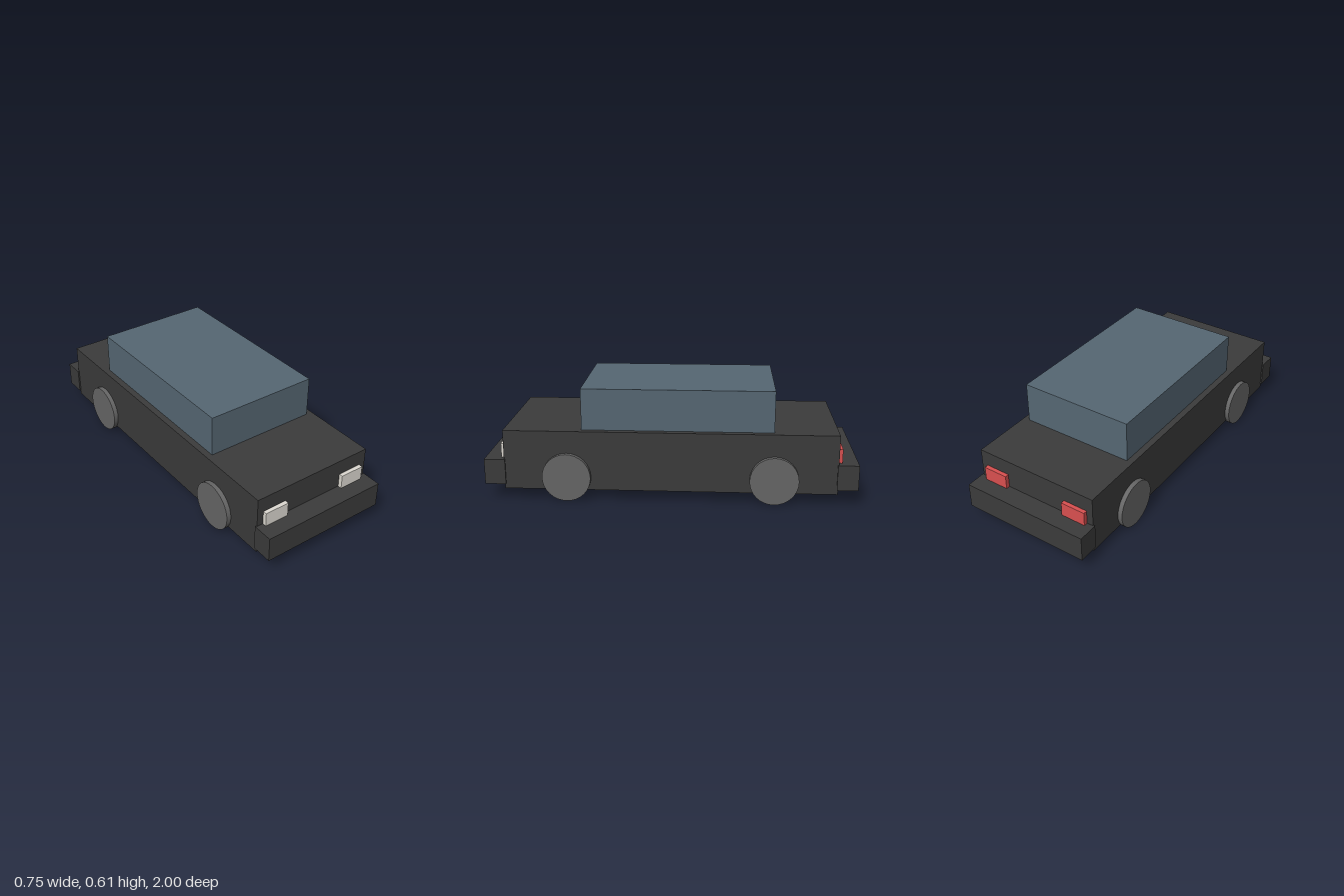
import * as THREE from 'three';

const paint = (color) => new THREE.MeshStandardMaterial({ color });

export function createModel() {
  const car = new THREE.Group();
  car.name = 'car';

  const dark = paint(0x3b3b3b);
  const glass = paint(0x566773);
  const rubber = paint(0x666666);
  const white = paint(0xdedad2);
  const red = paint(0xd95050);

  // Box given by its low and high limits on each axis
  function addBox(name, material, [x0, x1], [y0, y1], [z0, z1]) {
    const mesh = new THREE.Mesh(new THREE.BoxGeometry(x1 - x0, y1 - y0, z1 - z0), material);
    mesh.position.set((x0 + x1) / 2, (y0 + y1) / 2, (z0 + z1) / 2);
    mesh.name = name;
    car.add(mesh);
  }

  // Body and cabin
  addBox('body', dark, [-0.352, 0.352], [0.057, 0.383], [-0.893, 0.893]);
  addBox('cabin', glass, [-0.317, 0.317], [0.383, 0.608], [-0.552, 0.475]);

  // Bumpers
  addBox('frontBumper', dark, [-0.36, 0.36], [0.083, 0.222], [0.887, 1]);
  addBox('rearBumper', dark, [-0.36, 0.36], [0.083, 0.222], [-1, -0.887]);

  const wheelGeometry = new THREE.CylinderGeometry(0.131, 0.131, 0.087, 32).rotateZ(Math.PI / 2);

  for (const [side, s] of [['left', 1], ['right', -1]]) {
    // Lamps, just above the bumpers
    const lampX = s > 0 ? [0.178, 0.316] : [-0.316, -0.178];
    addBox(side + 'Headlight', white, lampX, [0.22, 0.299], [0.888, 0.915]);
    addBox(side + 'TailLight', red, lampX, [0.22, 0.299], [-0.915, -0.888]);

    // Wheels
    for (const [end, z] of [['Front', 0.555], ['Rear', -0.555]]) {
      const wheel = new THREE.Mesh(wheelGeometry, rubber);
      wheel.position.set(s * 0.3335, 0.131, z);
      wheel.name = side + end + 'Wheel';
      car.add(wheel);
    }
  }

  return car;
}
